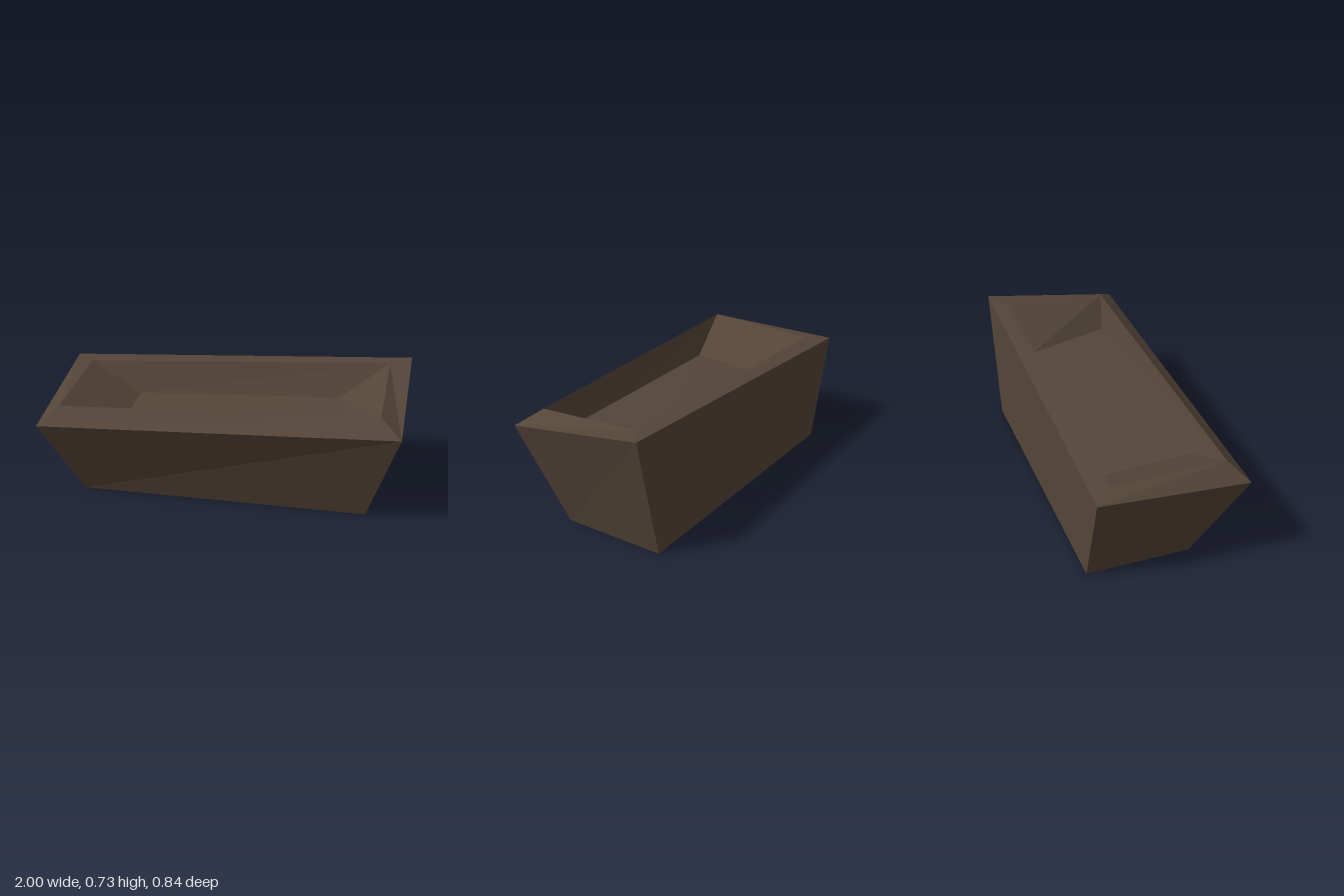
import * as THREE from 'three';

// Rings run front -x, front +x, back +x, back -x
const base = [[-0.82, 0, 0.165], [0.82, 0.005, 0.165], [0.82, 0, -0.42], [-0.82, 0, -0.42]];
const outerRim = [[-1, 0.52, 0.42], [1, 0.6, 0.365], [1, 0.73, -0.42], [-1, 0.585, -0.42]];
const innerRim = [[-0.89, 0.61, 0.325], [0.88, 0.677, 0.265], [0.88, 0.722, -0.335], [-0.89, 0.6, -0.31]];
const floor = [[-0.58, 0.455, 0.255], [0.74, 0.515, 0.225], [0.61, 0.518, -0.255], [-0.58, 0.44, -0.255]];

const quad = (a, b, c, d) => [a, b, c, a, c, d];

// Four quads joining one ring to the next
function band(from, to) {
  return from.flatMap((p, i) => {
    const j = (i + 1) % 4;
    return quad(p, from[j], to[j], to[i]);
  });
}

function part(name, points, material) {
  const geometry = new THREE.BufferGeometry();
  geometry.setAttribute('position', new THREE.Float32BufferAttribute(points.flat(), 3));
  geometry.computeVertexNormals();
  const mesh = new THREE.Mesh(geometry, material);
  mesh.name = name;
  return mesh;
}

export function createModel() {
  const group = new THREE.Group();
  group.name = 'trough';
  const wood = new THREE.MeshStandardMaterial({ color: 0x544538, flatShading: true });
  wood.name = 'dark brown';

  // Tapered body with its underside
  group.add(part('body', [...band(base, outerRim), ...quad(...[...base].reverse())], wood));
  // Sloping lip around the opening
  group.add(part('rim', band(outerRim, innerRim), wood));
  // Sunken hollow: slanted walls and floor
  group.add(part('hollow', [...band(innerRim, floor), ...quad(...floor)], wood));
  return group;
}
